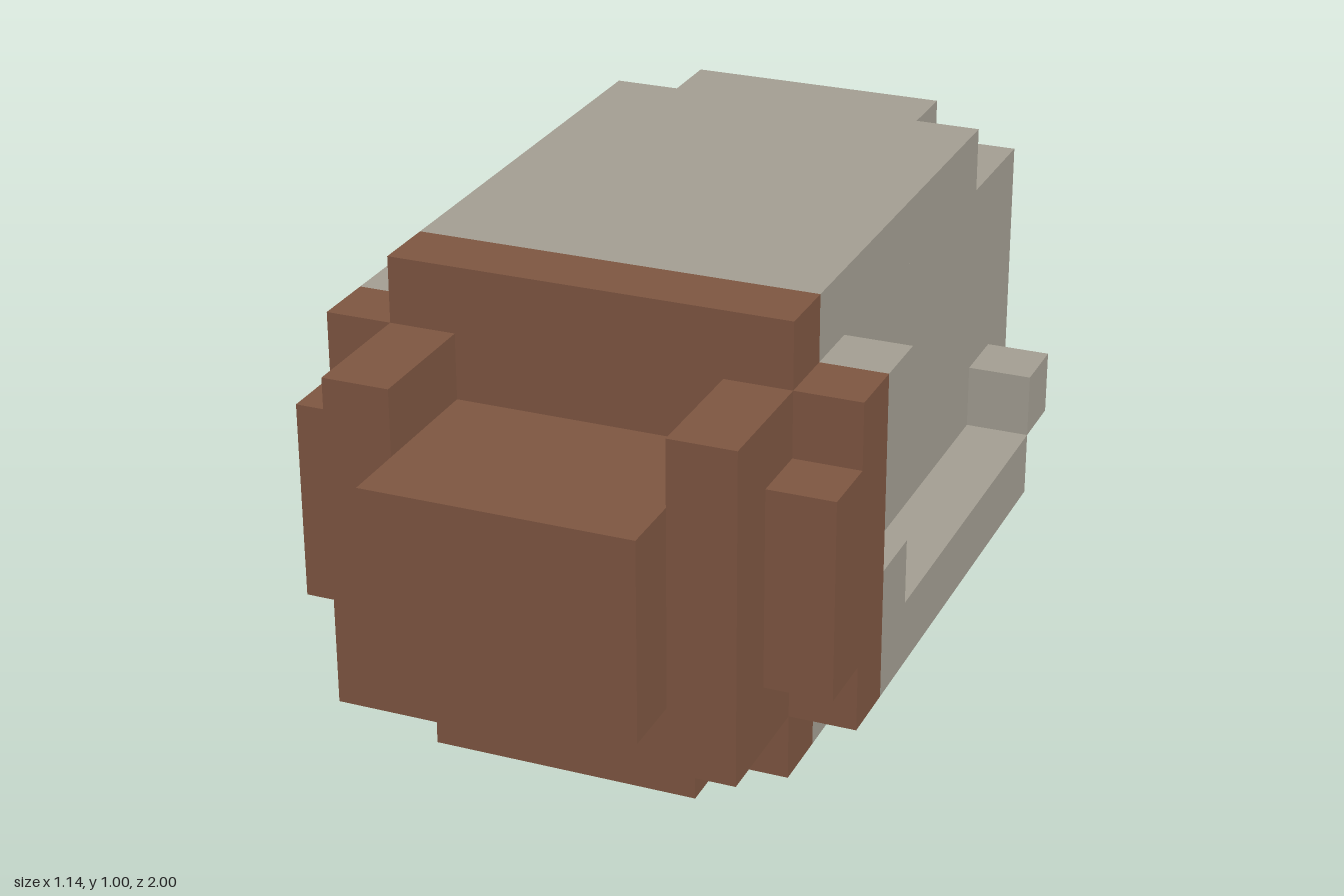
import * as THREE from 'three';

const U = 1 / 7; // one block

export function createModel() {
  const model = new THREE.Group();
  model.name = 'blockCapsule';

  const stone = new THREE.MeshStandardMaterial({ color: 0xa39e92 });
  stone.name = 'warm grey';
  const brown = new THREE.MeshStandardMaterial({ color: 0x7e5641 });
  brown.name = 'brown';

  // Box spanning the given block coordinates
  function block(name, material, [x0, x1], [y0, y1], [z0, z1]) {
    const geometry = new THREE.BoxGeometry((x1 - x0) * U, (y1 - y0) * U, (z1 - z0) * U);
    const mesh = new THREE.Mesh(geometry, material);
    mesh.name = name;
    mesh.position.set((x0 + x1) / 2 * U, (y0 + y1) / 2 * U, (z0 + z1) / 2 * U);
    model.add(mesh);
  }

  // The same box on both sides
  function pair(name, material, [x0, x1], y, z) {
    block('left' + name, material, [x0, x1], y, z);
    block('right' + name, material, [-x1, -x0], y, z);
  }

  // Grey body with stepped roof and base
  block('body', stone, [-3, 3], [1, 6], [-6, 3]);
  for (const [name, y] of [['roof', [6, 7]], ['base', [0, 1]]]) {
    block(name, stone, [-3, 3], y, [-4, 3]);
    block(name + 'RearStep', stone, [-2, 2], y, [-5, -4]);
  }
  block('rearPanel', stone, [-2, 2], [2, 4], [-7, -6]);

  // Grey side rails and knobs
  pair('Rail', stone, [3, 4], [1, 2], [-4, 3]);
  pair('RailFrontKnob', stone, [3, 4], [2, 3], [2, 3]);
  pair('RailRearKnob', stone, [3, 4], [2, 3], [-5, -4]);
  pair('UpperKnob', stone, [3, 4], [5, 6], [2, 3]);

  // Brown front end
  block('collar', brown, [-3, 3], [0, 7], [3, 4]);
  block('snout', brown, [-2, 2], [2, 5], [4, 7]);
  block('chin', brown, [-2, 2], [1, 2], [4, 6]);
  block('frontFoot', brown, [-2, 2], [0, 1], [4, 5]);
  pair('Cheek', brown, [2, 3], [1, 6], [4, 6]);
  pair('SidePlate', brown, [3, 4], [1, 6], [3, 4]);
  pair('SidePlateStep', brown, [3, 4], [2, 5], [4, 5]);

  return model;
}
